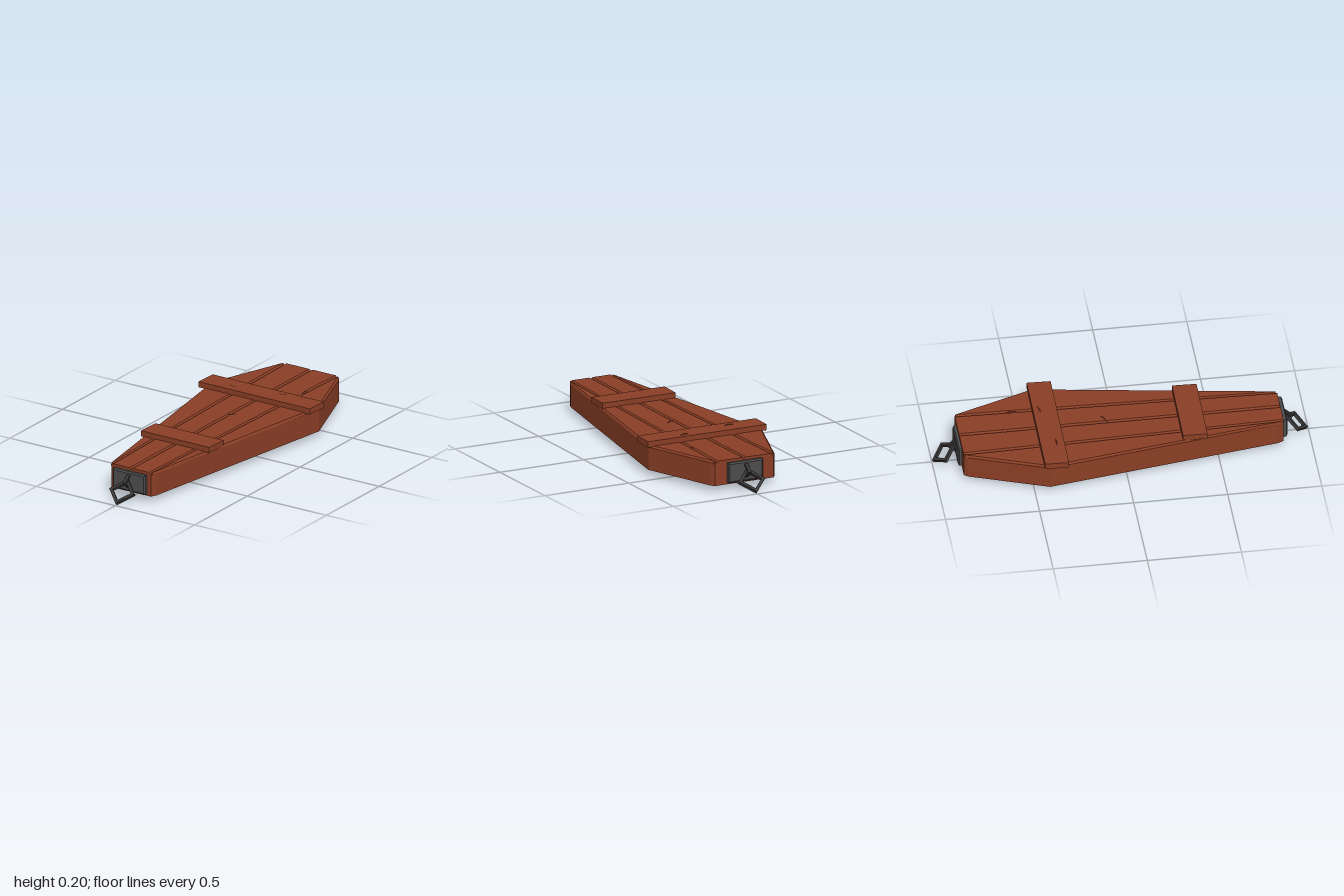
import * as THREE from 'three';

const material = (name, color) => {
  const m = new THREE.MeshStandardMaterial({ color });
  m.name = name;
  return m;
};

// Outline of the box seen from above, shrunk inward by t; z runs down the shape's -y
function outline(t) {
  const half = [[0.125, 0.852], [0.14, 0.82], [0.34, -0.42], [0.19, -0.835], [0.175, -0.855]];
  const right = half.map(([x, z]) => [x - t, z - Math.sign(z) * (Math.abs(z) > 0.5 ? t : 0)]);
  const left = right.map(([x, z]) => [-x, z]).reverse();
  return [...right, ...left].map(([x, z]) => new THREE.Vector2(x, -z));
}

function flatPrism(shape, y0, y1) {
  const g = new THREE.ExtrudeGeometry(shape, { depth: y1 - y0, bevelEnabled: false });
  return g.rotateX(-Math.PI / 2).translate(0, y0, 0);
}

// Solid through rows of [z, x0, x1], with chamfered long edges that leave V grooves
function plank(rows) {
  const pos = [], idx = [];
  for (const [z, x0, x1] of rows) {
    const c = Math.min(0.01, (x1 - x0) * 0.4);
    pos.push(x0, 0.148, z, x0, 0.154, z, x0 + c, 0.164, z, x1 - c, 0.164, z, x1, 0.154, z, x1, 0.148, z);
  }
  for (let r = 0; r < rows.length - 1; r++) {
    for (let k = 0; k < 6; k++) {
      const a = r * 6 + k, b = r * 6 + (k + 1) % 6;
      idx.push(a, a + 6, b, b, a + 6, b + 6);
    }
  }
  const last = (rows.length - 1) * 6;
  for (let k = 1; k < 5; k++) {
    idx.push(0, k, k + 1);
    idx.push(last, last + k + 1, last + k);
  }
  const g = new THREE.BufferGeometry();
  g.setAttribute('position', new THREE.Float32BufferAttribute(pos, 3));
  g.setIndex(idx);
  const flat = g.toNonIndexed();
  flat.computeVertexNormals();
  return flat;
}

// Square link standing on one corner
function diamond(rx, ry, bar, thick) {
  const corners = (a, b) => [[a, 0], [0, b], [-a, 0], [0, -b]].map(([x, y]) => new THREE.Vector2(x, y));
  const s = new THREE.Shape(corners(rx, ry));
  s.holes.push(new THREE.Path(corners(rx - bar, ry - bar)));
  return new THREE.ExtrudeGeometry(s, { depth: thick, bevelEnabled: false }).translate(0, 0, -thick / 2);
}

export function createModel() {
  const model = new THREE.Group();
  const wood = material('reddish wood', 0x8a3e25);
  const inside = material('dark interior', 0x240606);
  const iron = material('iron plate', 0x4c4c4c);
  const darkIron = material('dark iron', 0x383536);
  const add = (parent, name, geometry, mat) => {
    const mesh = new THREE.Mesh(geometry, mat);
    mesh.name = name;
    parent.add(mesh);
    return mesh;
  };

  // Hollow side walls, open at the bottom
  const wall = new THREE.Shape(outline(0));
  wall.holes.push(new THREE.Path(outline(0.022)));
  add(model, 'sideWalls', flatPrism(wall, 0.03, 0.154), wood);
  add(model, 'interiorCeiling', flatPrism(new THREE.Shape(outline(0.02)), 0.11, 0.118), inside);

  // Four top planks: two long inner ones, two tapering outer ones
  const seam = z => 0.165 - 0.042 * (z + 0.855) / 1.707;
  const inner = [-0.855, -0.42, 0.852].map(z => [z, 0, seam(z)]);
  const outer = [[-0.85, 0.18], [-0.835, 0.19], [-0.42, 0.34], [0.82, 0.14], [0.845, 0.13]]
    .map(([z, x]) => [z, seam(z), x]);
  const mirror = rows => rows.map(([z, a, b]) => [z, -b, -a]);
  add(model, 'innerPlankLeft', plank(inner), wood);
  add(model, 'innerPlankRight', plank(mirror(inner)), wood);
  add(model, 'outerPlankLeft', plank(outer), wood);
  add(model, 'outerPlankRight', plank(mirror(outer)), wood);

  // Cross battens, cut slightly crooked
  const batten = (name, x0, x1, z0, z1, skew) => {
    const s = new THREE.Shape([[x0, -z1], [x1 - skew, -z1 - skew], [x1, -z0], [x0 + skew, -z0 + skew]]
      .map(([x, y]) => new THREE.Vector2(x, y)));
    add(model, name, flatPrism(s, 0.16, 0.192), wood);
  };
  batten('wideBatten', -0.355, 0.355, -0.445, -0.322, 0.004);
  batten('narrowBatten', -0.215, 0.222, 0.308, 0.434, 0.004);

  // Small wood splinters
  for (const [x, y, z, turn] of [[-0.17, 0.192, -0.36, 0], [0.12, 0.192, -0.41, 0.2],
    [0.03, 0.164, -0.08, 0.5], [0.155, 0.164, -0.55, 1.4]]) {
    const chip = add(model, 'splinter', new THREE.ConeGeometry(1, 1, 3).toNonIndexed(), wood);
    chip.geometry.computeVertexNormals();
    chip.geometry.scale(0.045, 0.006, 0.011);
    chip.position.set(x, y + 0.002, z);
    chip.rotation.y = turn;
  }

  // Handle at each end: bevelled plate, staple and hanging link
  const plateShape = new THREE.Shape([[-0.095, -0.047], [0.095, -0.047], [0.095, 0.047], [-0.095, 0.047]]
    .map(([x, y]) => new THREE.Vector2(x, y)));
  for (const end of ['front', 'back']) {
    const handle = new THREE.Group();
    handle.name = end + 'Handle';
    const plate = add(handle, 'handlePlate', new THREE.ExtrudeGeometry(plateShape,
      { depth: 0.014, bevelSize: 0.008, bevelThickness: 0.006, bevelSegments: 1 }), iron);
    plate.position.set(0, 0.094, 0.855);
    const staple = add(handle, 'staple', diamond(0.042, 0.038, 0.014, 0.018), darkIron);
    staple.rotation.y = Math.PI / 2;
    staple.position.set(0, 0.098, 0.878);
    const link = add(handle, 'handleLink', diamond(0.08, 0.078, 0.024, 0.016), darkIron);
    link.rotation.x = -50 * Math.PI / 180;
    link.position.set(0, 0.056, 0.935);
    if (end === 'back') handle.rotation.y = Math.PI;
    model.add(handle);
  }
  return model;
}
